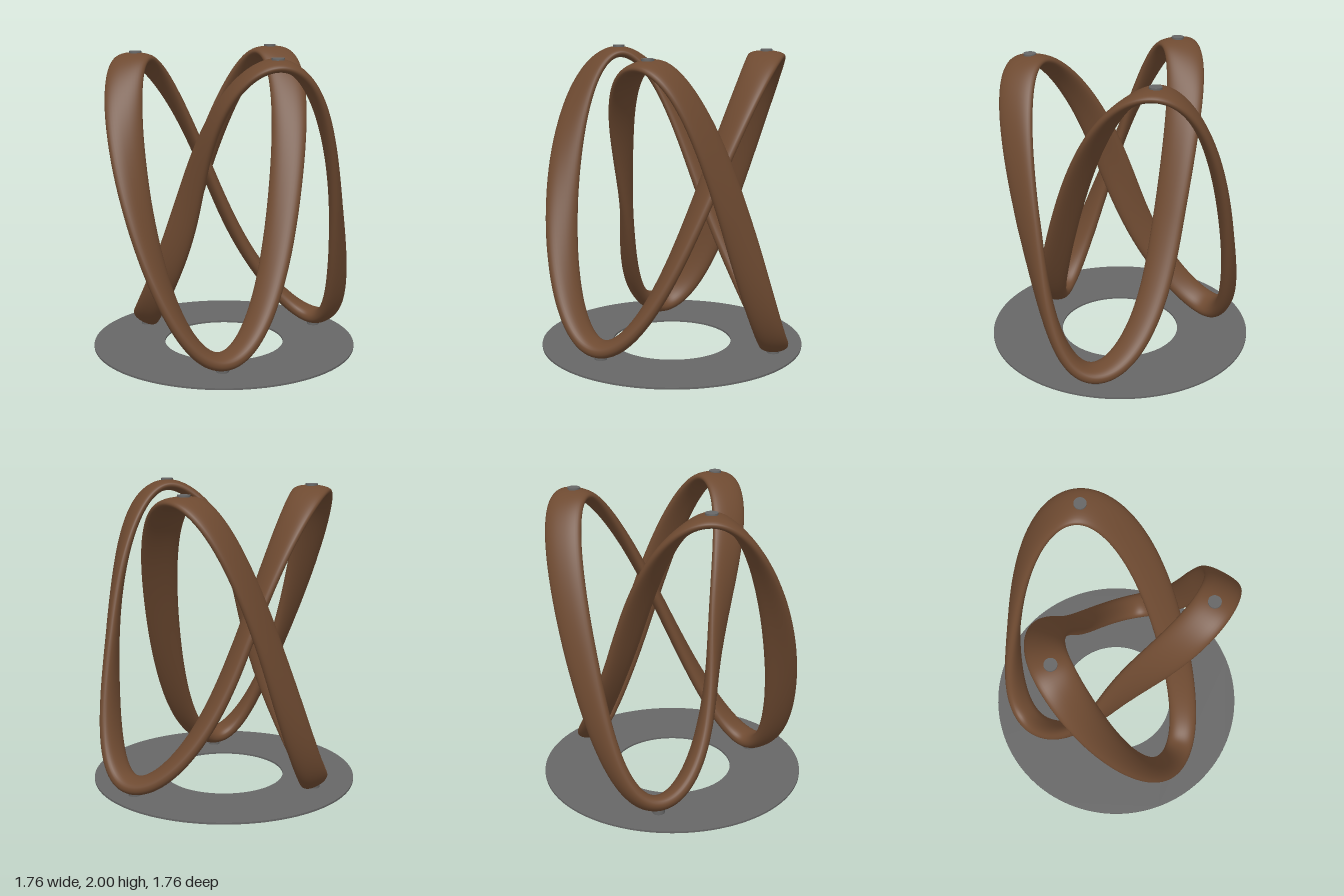
import * as THREE from 'three';

const deg = Math.PI / 180;
const UP = new THREE.Vector3(0, 1, 0);
const lerp = THREE.MathUtils.lerp;

// Band keys, four per lobe (crest, inner run, foot, outer run):
// tilt in degrees on top of an even half twist, radial shift, angular shift in degrees
const keys = new THREE.CatmullRomCurve3([
  [0, 0.043, 0], [-15, -0.005, 0], [-30, 0.015, 0], [-45, 0.016, 0],
  [-60, -0.013, 1], [-70, -0.035, 4], [-92, 0.13, 1], [-5, 0.018, -6],
  [55, -0.013, -5], [-43, -0.1, 3], [-122, 0.065, 2], [-45, 0.02, -1],
].map(k => new THREE.Vector3(...k)), true, 'catmullrom', 0.5);

// Trefoil centre line: two turns, three crests, three feet
function centre(s) {
  const b = (-75 + 720 * s) * deg, a = (-165 - 360 * s) * deg;
  const x = 0.565 * Math.cos(b) + 0.155 * Math.cos(a);
  const z = 0.565 * Math.sin(b) + 0.155 * Math.sin(a);
  const k = keys.getPoint(((s % 1) + 1) % 1);
  const r = Math.hypot(x, z) + k.y, angle = Math.atan2(z, x) + k.z * deg;
  return new THREE.Vector3(r * Math.cos(angle), 1.0325 + 0.9225 * Math.cos(6 * Math.PI * s), r * Math.sin(angle));
}

// Oval section, broad at the crests and stouter at the feet, swept along the closed line
function bandGeometry(steps, sides) {
  const positions = [], index = [];
  for (let i = 0; i < steps; i++) {
    const s = i / steps;
    const p = centre(s);
    const tangent = centre(s + 0.001).sub(centre(s - 0.001)).normalize();
    const out = new THREE.Vector3().crossVectors(UP, tangent).normalize();
    const over = new THREE.Vector3().crossVectors(tangent, out);
    const tilt = (keys.getPoint(s).x + 180 * s) * deg;
    const wide = out.clone().multiplyScalar(Math.cos(tilt)).addScaledVector(over, Math.sin(tilt));
    const thin = new THREE.Vector3().crossVectors(tangent, wide);
    const halfWidth = lerp(0.093, 0.123, p.y / 2), halfThick = lerp(0.053, 0.036, p.y / 2);
    // the half twist joins the last ring to the opposite side of the first
    const last = i === steps - 1, n = last ? 0 : i + 1, shift = last ? sides / 2 : 0;
    for (let j = 0; j < sides; j++) {
      const q = j / sides * 2 * Math.PI, c = Math.cos(q), d = Math.sin(q);
      const v = p.clone()
        .addScaledVector(wide, halfWidth * Math.sign(c) * Math.abs(c) ** 0.9)
        .addScaledVector(thin, halfThick * Math.sign(d) * Math.abs(d) ** 0.9);
      positions.push(v.x, v.y, v.z);
      const A = i * sides + j, B = i * sides + (j + 1) % sides;
      const C = n * sides + (j + shift) % sides, D = n * sides + (j + 1 + shift) % sides;
      index.push(A, B, C, B, D, C);
    }
  }
  const g = new THREE.BufferGeometry();
  g.setAttribute('position', new THREE.Float32BufferAttribute(positions, 3));
  g.setIndex(index);
  g.computeVertexNormals();
  return g;
}

export function createModel() {
  const model = new THREE.Group();
  const brown = new THREE.MeshStandardMaterial({ color: 0x6e4a31 });
  const grey = new THREE.MeshStandardMaterial({ color: 0x666666 });
  const add = (name, geometry, material) => {
    const mesh = new THREE.Mesh(geometry, material);
    mesh.name = name;
    model.add(mesh);
    return mesh;
  };

  add('twistedBand', bandGeometry(480, 32), brown);

  // Thin ring plate
  const plate = new THREE.Shape().absarc(0, 0, 0.878, 0, 2 * Math.PI);
  plate.holes.push(new THREE.Path().absarc(0, 0, 0.4, 0, 2 * Math.PI, true));
  const plateGeometry = new THREE.ExtrudeGeometry(plate, { depth: 0.012, bevelEnabled: false, curveSegments: 64 });
  plateGeometry.rotateX(-Math.PI / 2).translate(0, 0.03, 0);
  add('basePlate', plateGeometry, grey);

  // Discs on the crests and pegs under the feet
  for (let i = 0; i < 3; i++) {
    const crest = centre(i / 3), foot = centre(i / 3 + 1 / 6);
    add('crestDisc' + (i + 1), new THREE.CylinderGeometry(0.04, 0.04, 0.04, 32), grey)
      .position.set(crest.x, 1.98, crest.z);
    add('footPeg' + (i + 1), new THREE.CylinderGeometry(0.04, 0.04, 0.09, 32), grey)
      .position.set(foot.x, 0.045, foot.z);
  }
  return model;
}
